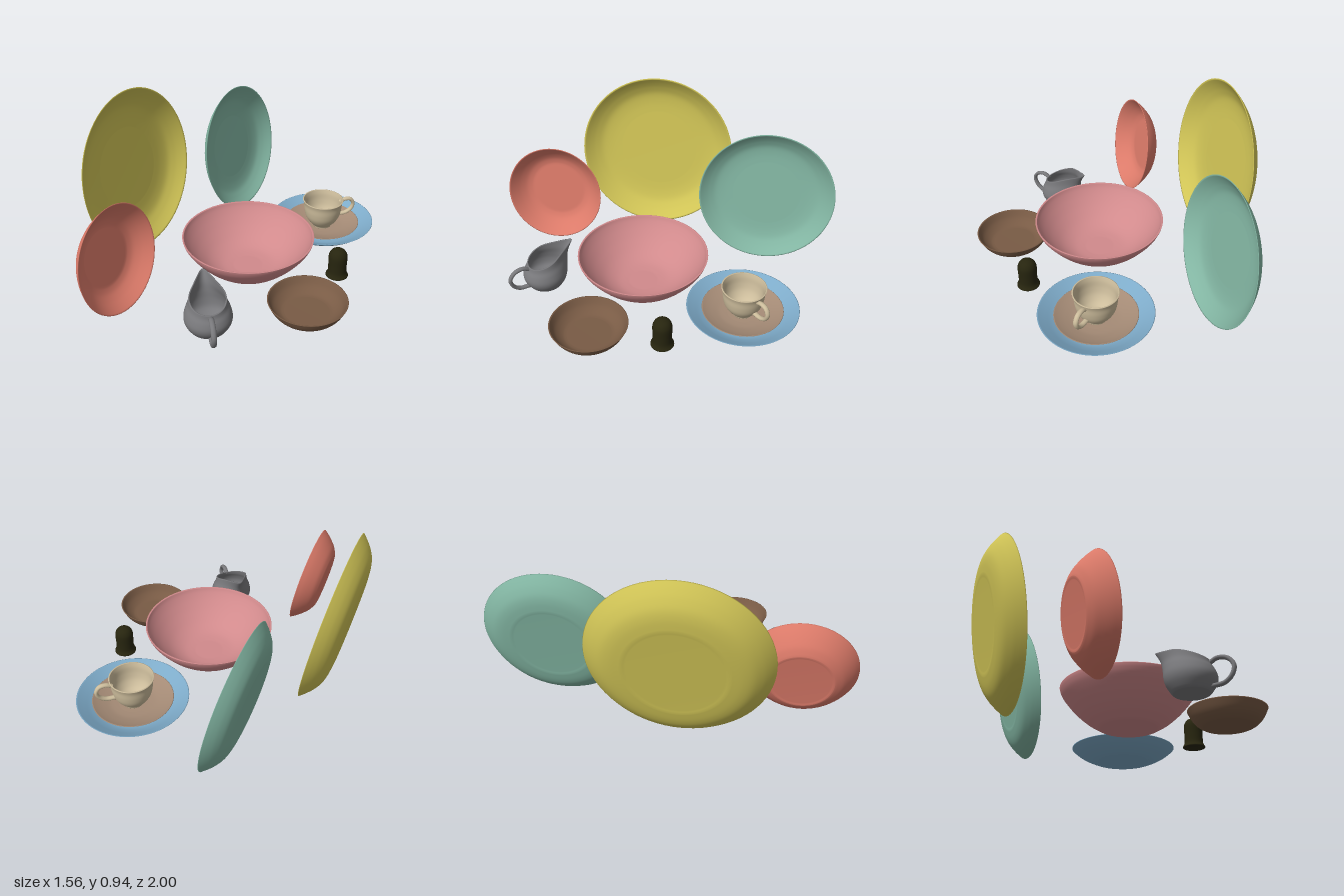
import * as THREE from 'three';

const material = (name, color) => {
  const m = new THREE.MeshStandardMaterial({ color });
  m.name = name;
  return m;
};

// Smooth curve through a few [radius, height] points
const smooth = (pts, n = 28) =>
  new THREE.SplineCurve(pts.map(([r, y]) => new THREE.Vector2(r, y)))
    .getPoints(n)
    .map((p) => new THREE.Vector2(Math.max(p.x, 0), p.y));

// Turned vessel: the outside runs up to the rim, the inside back down to the centre
function vessel(name, mat, outer, inner, foot = 0.003, segments = 72) {
  const points = [
    new THREE.Vector2(0, foot), new THREE.Vector2(outer[0][0] * 0.9, foot),
    new THREE.Vector2(outer[0][0] * 0.94, outer[0][1]),
    ...smooth(outer), ...smooth(inner), new THREE.Vector2(0, inner[inner.length - 1][1]),
  ];
  const mesh = new THREE.Mesh(new THREE.LatheGeometry(points, segments), mat);
  mesh.name = name;
  return mesh;
}

// Handle bent through [x, y] points
function handle(name, mat, pts, radius, width) {
  const curve = new THREE.CatmullRomCurve3(pts.map(([x, y]) => new THREE.Vector3(x, y, 0)));
  const mesh = new THREE.Mesh(new THREE.TubeGeometry(curve, 36, radius, 10), mat);
  mesh.scale.z = width;
  mesh.name = name;
  return mesh;
}

// Stands a dish on its edge, leaning back, with its rim centre at the given point
function lean(mesh, x, y, z, depth, tilt, stretch = 1) {
  mesh.rotation.z = tilt - Math.PI / 2;
  mesh.position.set(x - depth * Math.cos(tilt), y - depth * Math.sin(tilt), z);
  mesh.scale.x = stretch;
  return mesh;
}

// Shallow plate with a rounded wall, sized by its radius
function roundPlate(name, mat, R) {
  const s = (pts) => pts.map(([r, y]) => [r * R, y * R]);
  return vessel(name, mat,
    s([[0.56, 0], [0.68, 0.015], [0.78, 0.045], [0.87, 0.1], [0.94, 0.16], [1, 0.222]]),
    s([[0.985, 0.222], [0.92, 0.165], [0.85, 0.115], [0.76, 0.07], [0.64, 0.048], [0.5, 0.04]]), 0.002);
}

export function createModel() {
  const model = new THREE.Group();
  model.name = 'crockery';
  const yellow = material('yellow glaze', 0xd0c456);
  const green = material('green glaze', 0x82b5a2);
  const coral = material('coral glaze', 0xdb7a69);
  const pink = material('pink glaze', 0xd18a8c);
  const blue = material('blue glaze', 0x7eabc9);
  const tan = material('tan glaze', 0xa58b76);
  const brown = material('brown glaze', 0x795b45);
  const cream = material('cream glaze', 0xcdbd9c);
  const grey = material('grey glaze', 0x79797c);
  const dark = material('dark olive glaze', 0x27250f);

  // Standing plates
  model.add(lean(roundPlate('dinnerPlate', yellow, 0.474), -0.625, 0.473, 0.107, 0.105, 0.169));
  model.add(lean(roundPlate('lunchPlate', green, 0.402), -0.344, 0.387, -0.6, 0.089, 0.175, 0.975));
  model.add(lean(vessel('soupPlate', coral,
    [[0.17, 0], [0.185, 0.006], [0.215, 0.023], [0.245, 0.05], [0.272, 0.08], [0.295, 0.112]],
    [[0.29, 0.112], [0.262, 0.08], [0.235, 0.053], [0.205, 0.031], [0.175, 0.02], [0.155, 0.018]]),
    -0.317, 0.295, 0.703, 0.112, 0.178));

  // Large serving bowl
  const bowl = vessel('servingBowl', pink,
    [[0.145, 0.003], [0.17, 0.012], [0.23, 0.05], [0.293, 0.107], [0.345, 0.17], [0.365, 0.204], [0.372, 0.225]],
    [[0.364, 0.225], [0.352, 0.198], [0.322, 0.155], [0.275, 0.104], [0.215, 0.057], [0.15, 0.029], [0.08, 0.02]], 0.004);
  bowl.position.set(0.09, 0, 0.068);
  model.add(bowl);

  // Small dish
  const dish = vessel('smallDish', brown,
    [[0.125, 0.003], [0.142, 0.008], [0.17, 0.027], [0.192, 0.054], [0.213, 0.095]],
    [[0.207, 0.095], [0.186, 0.058], [0.164, 0.036], [0.14, 0.022], [0.12, 0.018]]);
  dish.position.set(0.568, 0, 0.277);
  model.add(dish);

  // Place setting: plate, saucer, cup
  const setting = new THREE.Group();
  setting.name = 'placeSetting';
  setting.position.set(0.285, 0, -0.522);
  setting.add(vessel('sidePlate', blue,
    [[0.165, 0.002], [0.19, 0.01], [0.235, 0.03], [0.275, 0.054], [0.31, 0.083]],
    [[0.306, 0.084], [0.27, 0.062], [0.232, 0.04], [0.195, 0.024], [0.16, 0.018]], 0.005));
  setting.add(vessel('saucer', tan,
    [[0.11, 0.02], [0.13, 0.026], [0.17, 0.039], [0.2, 0.052], [0.225, 0.068]],
    [[0.222, 0.07], [0.197, 0.059], [0.165, 0.048], [0.125, 0.038], [0.08, 0.034]], 0.021));
  const cup = new THREE.Group();
  cup.name = 'cup';
  cup.rotation.y = 0.75;
  cup.add(vessel('cupBody', cream,
    [[0.056, 0.036], [0.06, 0.048], [0.083, 0.073], [0.103, 0.108], [0.113, 0.15], [0.117, 0.19], [0.124, 0.216]],
    [[0.118, 0.217], [0.111, 0.19], [0.106, 0.15], [0.096, 0.112], [0.076, 0.08], [0.052, 0.06]], 0.04));
  cup.add(handle('cupHandle', cream,
    [[0.108, 0.185], [0.14, 0.2], [0.178, 0.196], [0.197, 0.165], [0.186, 0.13], [0.15, 0.105], [0.096, 0.1]], 0.011, 1.3));
  setting.add(cup);
  model.add(setting);

  // Shaker: hollow dome on a flared foot
  const shakerProfile = [
    [0.03, 0.02], [0.05, 0.004], [0.062, 0.004], [0.063, 0.01], [0.056, 0.022], [0.052, 0.04],
    [0.052, 0.08], [0.053, 0.125], [0.049, 0.147], [0.038, 0.165], [0.02, 0.176], [0, 0.18],
  ];
  const shaker = new THREE.Mesh(new THREE.LatheGeometry(
    [new THREE.Vector2(0, 0.02), ...smooth(shakerProfile, 44)], 40), dark);
  shaker.name = 'shaker';
  shaker.position.set(0.565, 0, -0.12);
  model.add(shaker);

  // Cream jug: turned body with a slanted rim drawn out into a spout
  const jug = new THREE.Group();
  jug.name = 'jug';
  jug.position.set(0.18, 0, 0.633);
  jug.rotation.y = 2.28;
  const body = vessel('jugBody', grey,
    [[0.088, 0.003], [0.1, 0.015], [0.12, 0.05], [0.126, 0.085], [0.117, 0.125], [0.103, 0.16], [0.097, 0.192]],
    [[0.091, 0.192], [0.097, 0.16], [0.11, 0.125], [0.118, 0.085], [0.11, 0.045], [0.075, 0.016]], 0.003);
  const pos = body.geometry.attributes.position;
  for (let i = 0; i < pos.count; i++) {
    const x = pos.getX(i), y = pos.getY(i), z = pos.getZ(i);
    const c = x / (Math.hypot(x, z) || 1);
    const t = y / 0.192;
    const pull = Math.pow(Math.max(c, 0), 5) * t * t * t;
    pos.setXYZ(i, x + 0.085 * pull, y + t * t * (0.036 * c + 0.018 * pull), z * (1 - 0.25 * pull));
  }
  // Recompute normals and close the seam at the handle side's lathe start
  body.geometry.computeVertexNormals();
  const nor = body.geometry.attributes.normal;
  const ring = pos.count / 73;
  for (let j = 0; j < ring; j++) {
    const k = pos.count - ring + j;
    const n = new THREE.Vector3().fromBufferAttribute(nor, j)
      .add(new THREE.Vector3().fromBufferAttribute(nor, k)).normalize();
    nor.setXYZ(j, n.x, n.y, n.z);
    nor.setXYZ(k, n.x, n.y, n.z);
  }
  jug.add(body);
  jug.add(handle('jugHandle', grey,
    [[-0.095, 0.14], [-0.135, 0.158], [-0.185, 0.146], [-0.213, 0.105], [-0.2, 0.06], [-0.165, 0.03], [-0.1, 0.022]], 0.011, 1.3));
  model.add(jug);

  return model;
}
